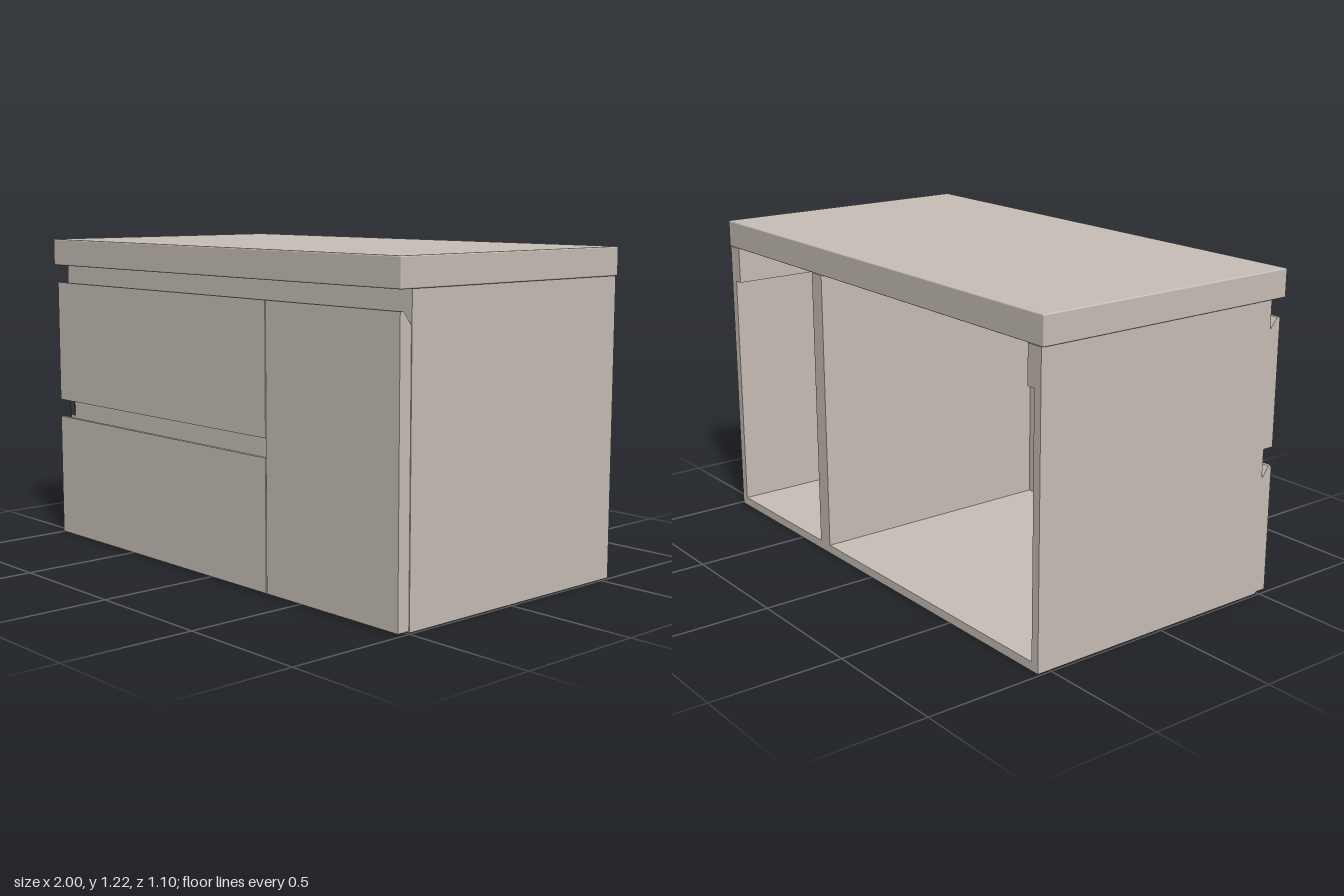
import * as THREE from 'three';
import { RoundedBoxGeometry } from 'three/addons/geometries/RoundedBoxGeometry.js';

export function createModel() {
  const group = new THREE.Group();
  const board = new THREE.MeshStandardMaterial({ color: 0xc7beb6 });
  board.name = 'warm grey board';
  const shadowGap = new THREE.MeshStandardMaterial({ color: 0x4a4541 });
  shadowGap.name = 'dark gap';

  const add = (name, geometry, material = board) => {
    const mesh = new THREE.Mesh(geometry, material);
    mesh.name = name;
    group.add(mesh);
    return mesh;
  };
  // Box given by its extents on each axis
  const box = (name, x0, x1, y0, y1, z0, z1, material) =>
    add(name, new THREE.BoxGeometry(x1 - x0, y1 - y0, z1 - z0), material)
      .position.set((x0 + x1) / 2, (y0 + y1) / 2, (z0 + z1) / 2);

  const T = 0.033, H = 1.115, BACK = -0.55, FRONT = 0.49, SPLIT = 0.327;
  const RAIL = 0.975; // underside of the upper rails

  // Two open-backed carcasses standing side by side
  const carcass = (side, x0, x1, outer) => {
    box(side + 'SidePanelA', x0, x0 + T, 0, H, BACK, FRONT);
    box(side + 'SidePanelB', x1 - T, x1, 0, H, BACK, FRONT);
    box(side + 'BottomPanel', x0 + T, x1 - T, 0, T, BACK, FRONT);
    box(side + 'FrontPanel', x0 + T, x1 - T, T, H, FRONT - 0.03, FRONT);
    box(side + 'FrontRail', x0 + T, x1 - T, RAIL, H, FRONT - 0.06, FRONT - 0.03);
    // Mounting strip along the outer side
    const s = outer < 0 ? x0 + T : x1 - 2 * T;
    box(side + 'SideRail', s, s + T, RAIL, H, BACK, FRONT - 0.06);
  };
  carcass('drawer', -0.99, SPLIT, -1);
  carcass('door', SPLIT, 0.99, 1);

  // Front with a sloped finger grip cut behind its top edge
  const gripFront = (name, x0, x1, y0, y1) => {
    const profile = new THREE.Shape([
      [FRONT, y0], [0.54, y0], [0.54, y1], [0.525, y1], [FRONT, y1 - 0.045],
    ].map(([z, y]) => new THREE.Vector2(-z, y)));
    const geometry = new THREE.ExtrudeGeometry(profile, { depth: x1 - x0, bevelEnabled: false });
    geometry.rotateY(Math.PI / 2); // profile x becomes -z, depth runs along x
    add(name, geometry).position.x = x0;
  };
  gripFront('lowerDrawerFront', -0.987, 0.328, 0.005, 0.492);
  gripFront('upperDrawerFront', -0.987, 0.328, 0.562, 1.045);
  gripFront('doorFront', 0.332, 0.987, 0.005, 1.045);

  // Dark end of the gap between the drawers
  box('gapEnd', -0.988, -0.958, 0.492, 0.562, FRONT, FRONT + 0.003, shadowGap);

  // Worktop with slightly softened edges
  add('worktop', new RoundedBoxGeometry(2, 1.22 - H, 1.1, 2, 0.005))
    .position.set(0, (1.22 + H) / 2, 0);

  return group;
}
